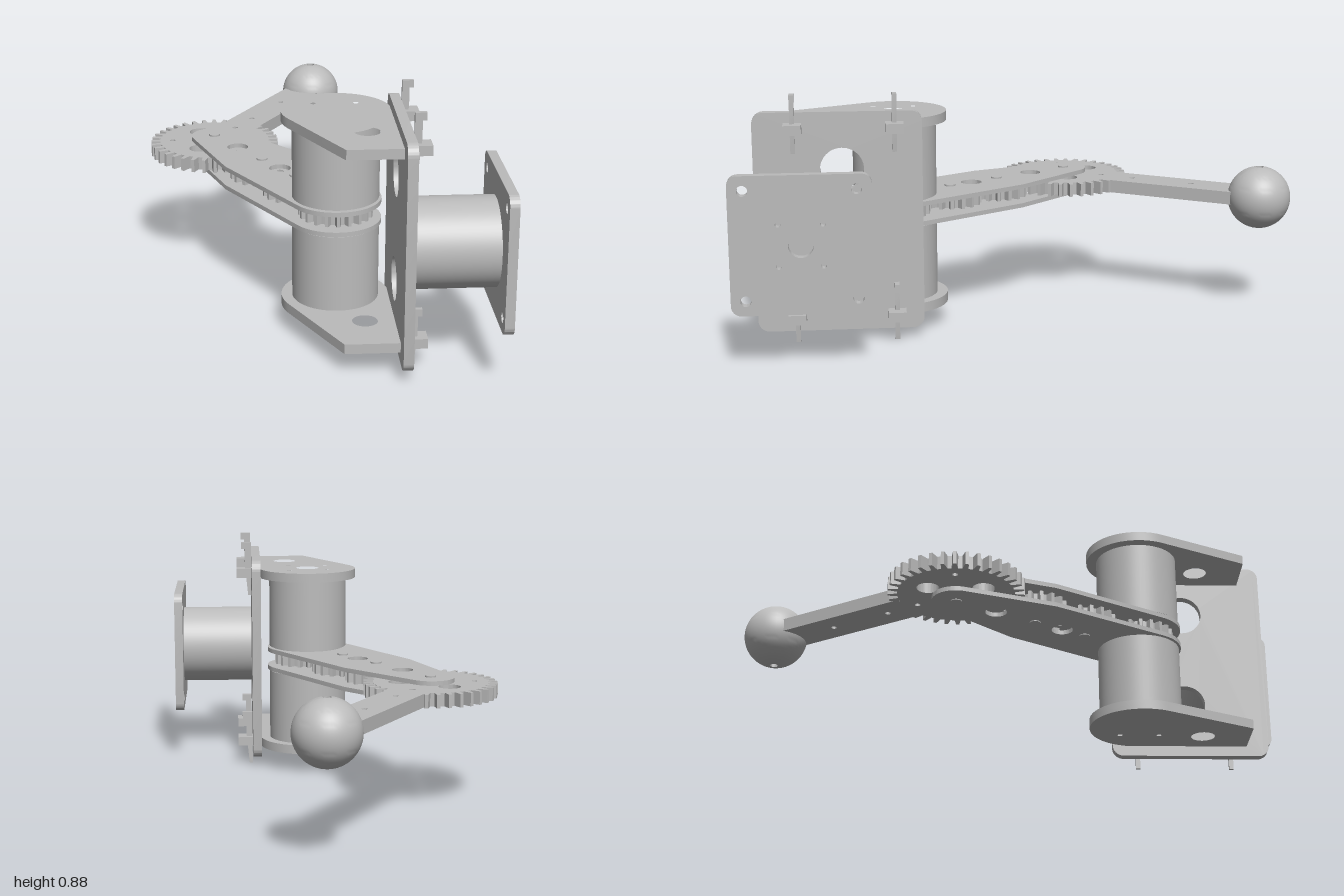
import * as THREE from 'three';
import { toCreasedNormals } from 'three/addons/utils/BufferGeometryUtils.js';

export function createModel() {
  const model = new THREE.Group();
  model.name = 'roboticArm';
  const grey = new THREE.MeshStandardMaterial({ color: 0xbbbbbb });
  grey.name = 'plainGrey';

  const add = (name, geometry, x = 0, y = 0, z = 0) => {
    const mesh = new THREE.Mesh(geometry, grey);
    mesh.name = name;
    mesh.position.set(x, y, z);
    model.add(mesh);
    return mesh;
  };
  const hole = (shape, x, y, r) => {
    const path = new THREE.Path();
    path.absarc(x, y, r, 0, Math.PI * 2, true);
    shape.holes.push(path);
  };
  const extrude = (shape, depth) =>
    toCreasedNormals(new THREE.ExtrudeGeometry(shape, { depth, bevelEnabled: false, curveSegments: 24 }), 0.45);
  // Lying plate: shape (x, z), thickness hangs down from the placed height
  const lying = (shape, depth, turn = 0) => extrude(shape, depth).rotateZ(turn).rotateX(Math.PI / 2);
  // Upright plate: shape (z, y), thickness runs towards -x
  const upright = (shape, depth) => extrude(shape, depth).rotateY(-Math.PI / 2);
  const roundedRect = (x0, y0, x1, y1, r) => {
    const s = new THREE.Shape();
    s.absarc(x1 - r, y1 - r, r, 0, Math.PI / 2);
    s.absarc(x0 + r, y1 - r, r, Math.PI / 2, Math.PI);
    s.absarc(x0 + r, y0 + r, r, Math.PI, Math.PI * 1.5);
    s.absarc(x1 - r, y0 + r, r, Math.PI * 1.5, Math.PI * 2);
    return s;
  };
  const gearShape = (teeth, root, tip) => {
    const s = new THREE.Shape();
    const profile = [[-0.5, root], [-0.3, root], [-0.14, tip], [0.14, tip], [0.3, root]];
    for (let i = 0; i < teeth; i++) {
      profile.forEach(([offset, r], j) => {
        const a = ((i + offset) / teeth) * Math.PI * 2;
        s[i + j ? 'lineTo' : 'moveTo'](r * Math.cos(a), r * Math.sin(a));
      });
    }
    s.closePath();
    return s;
  };

  const shoulder = { x: 0.06, z: 0.445 };
  const elbow = { x: -0.345, z: -0.215 };
  const linkTurn = Math.atan2(elbow.z - shoulder.z, elbow.x - shoulder.x);
  const alongLink = d => [shoulder.x + d * Math.cos(linkTurn), shoulder.z + d * Math.sin(linkTurn)];

  // Upright side plate with two openings
  const side = roundedRect(0.355, 0.037, 0.932, 0.81, 0.04);
  for (const y of [0.61, 0.24]) hole(side, 0.63, y, 0.075);
  add('sidePlate', upright(side, 0.034), 0.276);

  // Base motor and its square flange
  add('baseMotor', new THREE.CylinderGeometry(0.15, 0.15, 0.275, 64).rotateZ(Math.PI / 2), 0.4145, 0.425, 0.765);
  const flange = roundedRect(0.533, 0.19, 1, 0.66, 0.035);
  hole(flange, 0.767, 0.425, 0.042);
  for (const i of [-1, 1]) for (const j of [-1, 1]) {
    hole(flange, 0.767 + i * 0.184, 0.425 + j * 0.185, 0.018);
    hole(flange, 0.767 + i * 0.073, 0.425 + j * 0.071, 0.009);
  }
  add('baseFlange', upright(flange, 0.032), 0.581);

  // Mounting plates with tabs, above and below the arm
  const mount = new THREE.Shape();
  mount.moveTo(0.06, 0.85);
  mount.lineTo(0.245, 0.85);
  for (const z of [0.795, 0.45]) {
    mount.lineTo(0.245, z + 0.031);
    mount.lineTo(0.334, z + 0.031);
    mount.lineTo(0.334, z - 0.031);
    mount.lineTo(0.245, z - 0.031);
  }
  mount.absarc(shoulder.x, shoulder.z, 0.185, -0.15, -3.616, true);
  mount.closePath();
  hole(mount, shoulder.x, shoulder.z, 0.043);
  hole(mount, 0.142, 0.677, 0.043);
  for (const i of [-1, 1]) for (const j of [-1, 1])
    hole(mount, shoulder.x + i * 0.072, shoulder.z + j * 0.071, 0.009);

  // Wedge key with a hook on top
  const key = new THREE.Shape([
    [0.278, 0], [0.29, 0], [0.302, 0.12], [0.302, 0.18], [0.316, 0.18], [0.316, 0.205], [0.278, 0.205],
  ].map(([x, y]) => new THREE.Vector2(x, y)));

  for (const [level, plateTop, motorY, discY, keyY] of [
    ['upper', 0.774, 0.606, 0.47, 0.67], ['lower', 0.109, 0.242, 0.377, 0],
  ]) {
    add(level + 'MountPlate', lying(mount, 0.034), 0, plateTop, 0);
    add(level + 'ArmMotor', new THREE.CylinderGeometry(0.148, 0.148, 0.268, 64), shoulder.x, motorY, shoulder.z);
    add(level + 'MotorDisc', new THREE.CylinderGeometry(0.137, 0.137, 0.01, 48), shoulder.x, discY, shoulder.z);
    for (const z of [0.795, 0.45]) add(level + 'WedgeKey', extrude(key, 0.016), 0, keyY, z - 0.008);
  }

  // Pair of tapered link plates, drawn from shoulder to elbow
  const link = new THREE.Shape();
  link.absarc(0, 0, 0.155, Math.PI / 2, Math.PI * 1.5);
  link.lineTo(0.46, -0.15);
  link.absarc(0.774, 0, 0.085, -1.37, 1.37);
  link.lineTo(0.46, 0.15);
  link.closePath();
  for (const d of [0.336, 0.613]) hole(link, d, 0, 0.038);
  add('upperLinkPlate', lying(link, 0.016, linkTurn), shoulder.x, 0.467, shoulder.z);
  add('lowerLinkPlate', lying(link, 0.016, linkTurn), shoulder.x, 0.396, shoulder.z);

  // Gear train between the link plates, with axle pins
  for (const [name, d, teeth, root, tip] of [
    ['driveGear', 0, 20, 0.105, 0.127], ['idlerGear', 0.24, 17, 0.09, 0.115], ['idlerGear', 0.451, 17, 0.09, 0.115],
  ]) {
    const [x, z] = alongLink(d);
    add(name, lying(gearShape(teeth, root, tip), 0.047), x, 0.45, z);
  }
  for (const d of [0.24, 0.451, 0.774]) {
    const [x, z] = alongLink(d);
    add('axlePin', new THREE.CylinderGeometry(0.02, 0.02, 0.096, 24), x, 0.425, z);
  }

  // Large elbow gear with lightening holes
  const elbowGear = gearShape(36, 0.203, 0.237);
  for (let i = 0; i < 3; i++) {
    const a = (i * Math.PI * 2) / 3;
    hole(elbowGear, 0.11 * Math.cos(a), 0.11 * Math.sin(a), 0.039);
    hole(elbowGear, 0.157 * Math.cos(a + Math.PI / 3), 0.157 * Math.sin(a + Math.PI / 3), 0.01);
  }
  add('elbowGear', lying(elbowGear, 0.047), elbow.x, 0.45, elbow.z);

  // Forearm bar
  const bar = new THREE.Shape();
  bar.moveTo(0.195, -0.071);
  bar.lineTo(0.72, -0.071);
  bar.lineTo(0.72, 0.071);
  bar.lineTo(0.195, 0.071);
  bar.closePath();
  for (const d of [0.285, 0.52]) hole(bar, d, 0, 0.01);
  add('forearm', lying(bar, 0.047, Math.atan2(-0.67, 0.405)), elbow.x, 0.45, elbow.z);

  // End ball with a bore through it
  const ball = [];
  const start = Math.asin(0.014 / 0.114);
  for (let i = 0; i <= 32; i++) {
    const a = start + ((Math.PI - 2 * start) * i) / 32;
    ball.push(new THREE.Vector2(0.114 * Math.sin(a), -0.114 * Math.cos(a)));
  }
  ball.push(ball[0].clone());
  add('endBall', toCreasedNormals(new THREE.LatheGeometry(ball, 48), 0.6), 0.058, 0.425, -0.886);

  return model;
}
